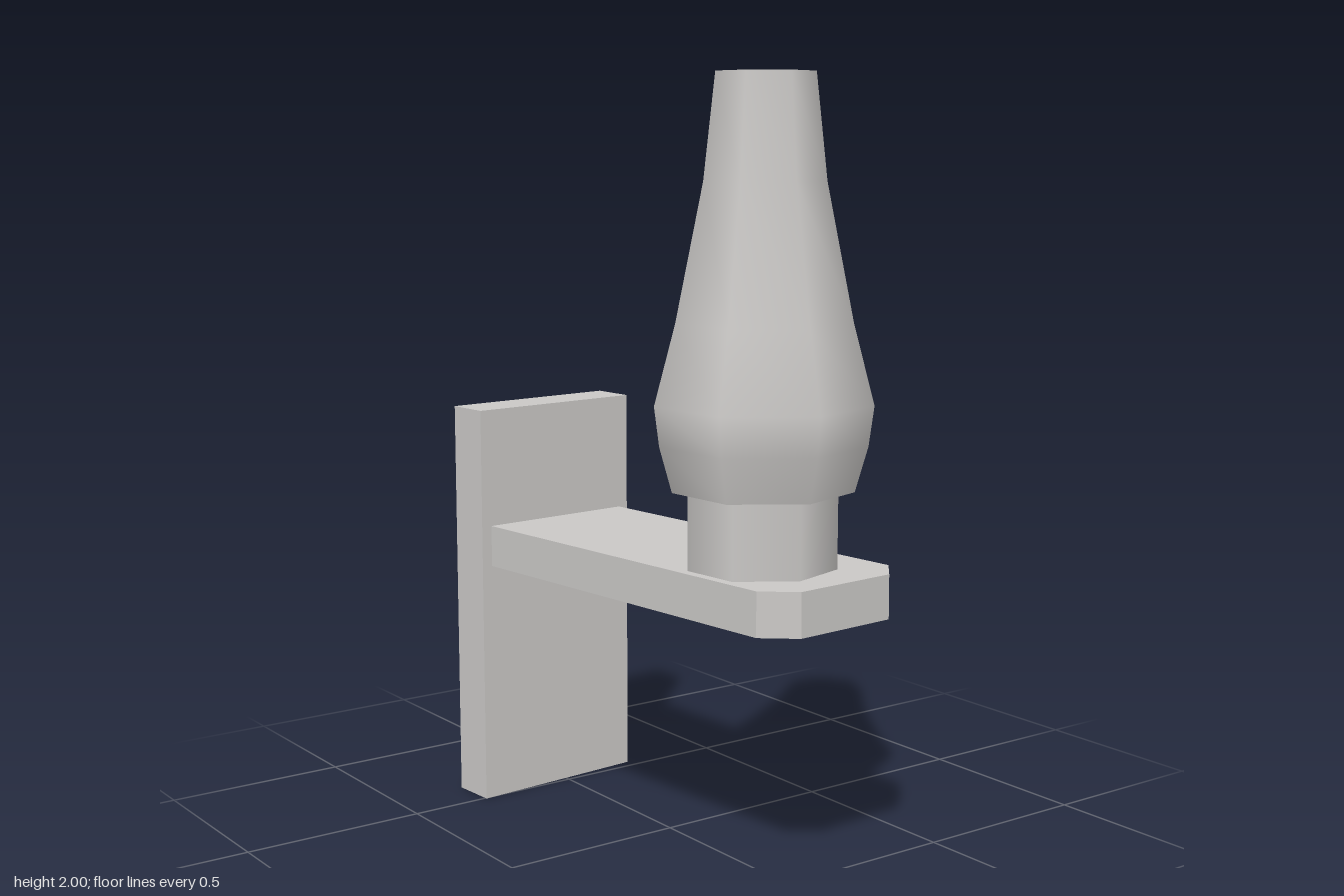
import * as THREE from 'three';

const TURN = 0.07; // the whole lamp is turned slightly about y
const SIDES = 7;

export function createModel() {
  const model = new THREE.Group();
  model.name = 'wallLamp';
  const grey = new THREE.MeshStandardMaterial({ color: 0xcac8c6 });
  grey.name = 'pale grey';

  const add = (name, geometry, parent = model) => {
    const mesh = new THREE.Mesh(geometry, grey);
    mesh.name = name;
    parent.add(mesh);
    return mesh;
  };

  // Upright plate that fixes to the wall
  const plate = add('wallPlate', new THREE.BoxGeometry(0.511, 1.105, 0.125));
  plate.position.set(-0.03, 0.5525, -0.575);
  plate.rotation.y = TURN;

  // Flat arm with clipped front corners, outlined as [x, z]
  const outline = [[-0.25, -0.5], [0.2, -0.53], [0.275, 0.55], [0.205, 0.63], [-0.09, 0.65], [-0.17, 0.58]];
  const shape = new THREE.Shape(outline.map(([x, z]) => new THREE.Vector2(x, -z)));
  const armGeometry = new THREE.ExtrudeGeometry(shape, { depth: 0.113, bevelEnabled: false });
  armGeometry.rotateX(-Math.PI / 2);
  const arm = add('arm', armGeometry);
  arm.position.y = 0.672;
  arm.rotation.x = -0.009; // rises a little towards the front

  // Seven-sided lamp, with one corner pointing to +x before the turn
  const lamp = new THREE.Group();
  lamp.name = 'lamp';
  lamp.position.set(0.012, 0, 0.37);
  lamp.rotation.y = TURN;
  model.add(lamp);

  const neck = add('neck', new THREE.CylinderGeometry(0.19, 0.19, 0.225, SIDES, 1, false, Math.PI / 2), lamp);
  neck.position.y = 0.8775;

  // Glass chimney: smooth side with flat ends, as [radius, height]
  const profile = [[0.23, 0.985], [0.262, 1.1], [0.275, 1.2], [0.222, 1.4], [0.153, 1.74], [0.124, 2]];
  const points = profile.map(([r, y]) => new THREE.Vector2(r, y));
  add('chimney', new THREE.LatheGeometry(points, SIDES, Math.PI / 2), lamp);
  for (const [name, [r, y], up] of [['chimneyTop', profile[5], -1], ['chimneyBase', profile[0], 1]]) {
    const cap = add(name, new THREE.CircleGeometry(r, SIDES), lamp);
    cap.rotation.x = up * Math.PI / 2;
    cap.position.y = y;
  }
  return model;
}
